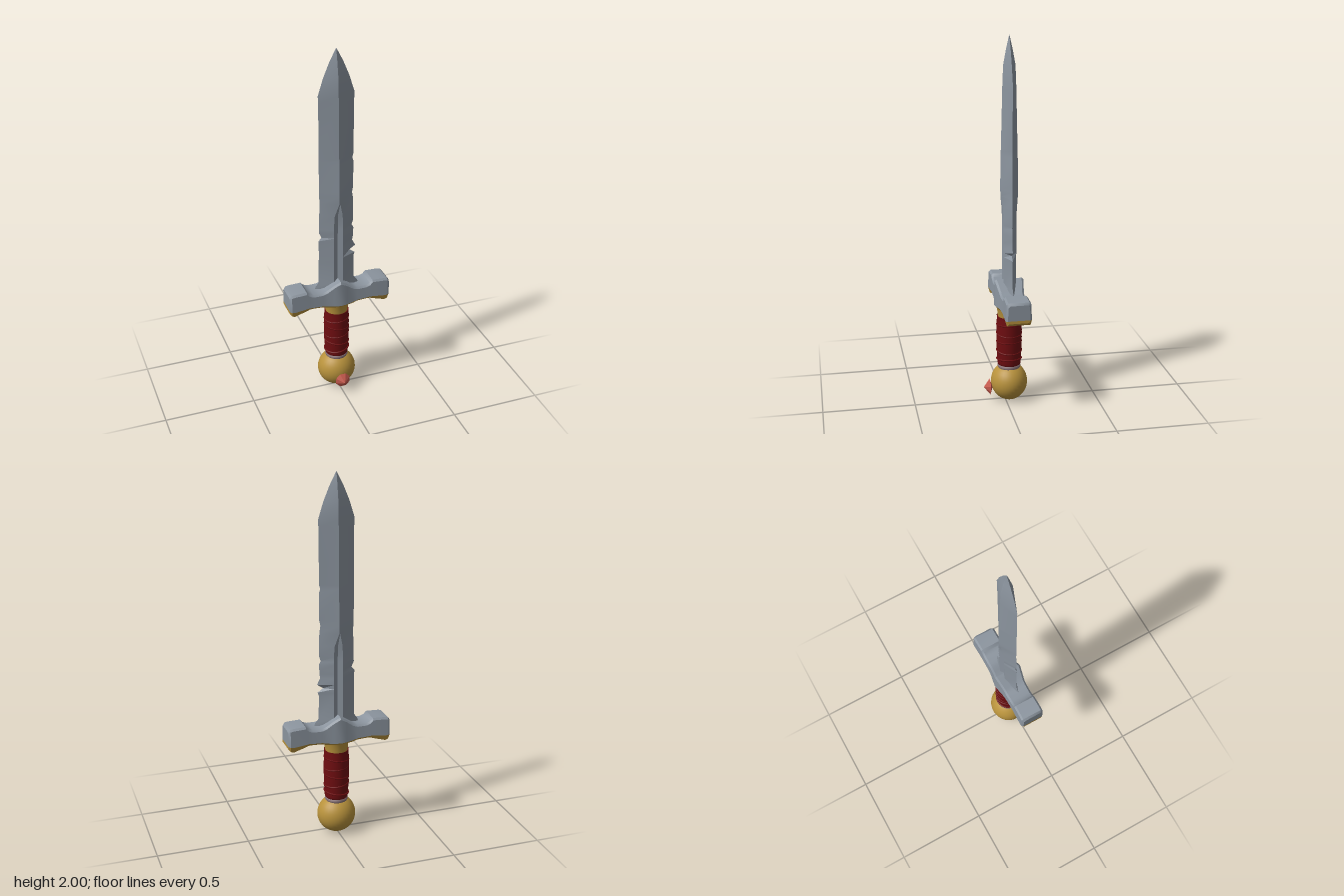
import * as THREE from 'three';
import { toCreasedNormals } from 'three/addons/utils/BufferGeometryUtils.js';

const mat = (name, color) => {
  const m = new THREE.MeshStandardMaterial({ color });
  m.name = name;
  return m;
};

// Skin a list of equal-length rings (counter-clockwise about the axis) and cap both ends.
function loft(rings, crease) {
  const n = rings[0].length, index = [];
  rings.slice(1).forEach((_, i) => {
    for (let j = 0; j < n; j++) {
      const a = i * n + j, b = i * n + (j + 1) % n;
      index.push(a, b, b + n, a, b + n, a + n);
    }
  });
  const last = (rings.length - 1) * n;
  for (let j = 1; j < n - 1; j++) index.push(0, j + 1, j, last, last + j, last + j + 1);
  const g = new THREE.BufferGeometry();
  g.setAttribute('position', new THREE.Float32BufferAttribute(rings.flat(2), 3));
  g.setIndex(index);
  return toCreasedNormals(g, crease);
}

const lathe = (pts, seg) => new THREE.LatheGeometry(pts.map(p => new THREE.Vector2(...p)), seg);

export function createModel() {
  const steel = mat('steel', 0x8c959f);
  const gold = mat('gold', 0xb8923c);
  const leather = mat('red leather', 0x6e0d10);
  const ruby = mat('gem red', 0xc4594c);
  const band = mat('band grey', 0x8a7478);

  const group = new THREE.Group();
  const sword = new THREE.Group();
  sword.name = 'sword';
  sword.position.z = -0.022;
  group.add(sword);
  const add = (name, geometry, material) => {
    const m = new THREE.Mesh(geometry, material);
    m.name = name;
    sword.add(m);
    return m;
  };

  // Blade rows: y, left edge, right edge, ridge x, ridge depth, centre depth
  const blade = [
    [0.62, 0.13, 0.13, 0.025, 0.034, 0.022],
    [0.655, 0.12, 0.12, 0.025, 0.034, 0.022],
    [0.68, 0.102, 0.1, 0.025, 0.034, 0.022],
    [0.81, 0.101, 0.098, 0.025, 0.034, 0.022],
    [0.83, 0.1, 0.105, 0.025, 0.034, 0.022],
    [0.852, 0.1, 0.075, 0.025, 0.034, 0.022],
    [0.875, 0.1, 0.108, 0.025, 0.034, 0.022],
    [0.91, 0.1, 0.09, 0.025, 0.034, 0.022],
    [0.935, 0.102, 0.095, 0.025, 0.034, 0.022],
    [0.955, 0.085, 0.095, 0.025, 0.034, 0.022],
    [0.985, 0.098, 0.097, 0.025, 0.034, 0.022],
    [1.005, 0.097, 0.087, 0.025, 0.034, 0.022],
    [1.03, 0.096, 0.095, 0.025, 0.034, 0.023],
    [1.09, 0.096, 0.095, 0.022, 0.037, 0.027],
    [1.16, 0.092, 0.094, 0.006, 0.045, 0.047],
    [1.2, 0.096, 0.088, 0.006, 0.045, 0.048],
    [1.23, 0.096, 0.094, 0.006, 0.045, 0.048],
    [1.38, 0.096, 0.094, 0.006, 0.042, 0.045],
    [1.4, 0.096, 0.088, 0.006, 0.042, 0.045],
    [1.42, 0.096, 0.094, 0.006, 0.042, 0.044],
    [1.72, 0.096, 0.096, 0.006, 0.035, 0.037],
    [1.76, 0.098, 0.098, 0.006, 0.034, 0.036],
    [1.85, 0.07, 0.07, 0.005, 0.03, 0.032],
    [1.93, 0.037, 0.037, 0.003, 0.016, 0.017],
    [2.0, 0.001, 0.001, 0.0005, 0.0005, 0.001],
  ];
  add('blade', loft(blade.map(([y, l, r, rx, rz, cz]) => [
    [0, y, cz], [rx, y, rz], [r, y, 0], [rx, y, -rz],
    [0, y, -cz], [-rx, y, -rz], [-l, y, 0], [-rx, y, rz],
  ]), 0.35), steel);

  // Crossguard half rows: x, top, steel/gold seam, bottom, half depth
  const half = [
    [0, 0.7, 0.555, 0.545, 0.083],
    [0.035, 0.68, 0.555, 0.546, 0.077],
    [0.075, 0.65, 0.56, 0.548, 0.07],
    [0.1, 0.641, 0.566, 0.556, 0.069],
    [0.15, 0.641, 0.568, 0.558, 0.068],
    [0.175, 0.65, 0.57, 0.557, 0.068],
    [0.19, 0.666, 0.568, 0.551, 0.068],
    [0.26, 0.663, 0.56, 0.53, 0.069],
    [0.276, 0.66, 0.562, 0.536, 0.069],
    [0.287, 0.648, 0.565, 0.55, 0.06],
  ];
  const rows = [...half.slice(1).reverse().map(([x, ...r]) => [-x, ...r]), ...half];
  const c = 0.01;
  add('crossguard', loft(rows.map(([x, t, s, b, d]) => [
    [x, t, -d + 0.014], [x, t, d - 0.014], [x, t - c, d - 0.004], [x, s, d],
    [x, s, -d], [x, t - c, -d + 0.004],
  ]), 0.6), steel);
  add('crossguardUnderside', loft(rows.map(([x, t, s, b, d]) => [
    [x, s, -d], [x, s, d], [x, b, d - 0.008], [x, b, -d + 0.008],
  ]), 0.6), gold);

  // Collar under the guard
  add('collar', lathe([[0.058, 0.47], [0.063, 0.5], [0.066, 0.53], [0.074, 0.555]], 24), gold);

  // Wrapped grip
  const grip = [[0.055, 0.205], [0.062, 0.21]];
  for (let i = 0; i <= 6; i++) {
    const y = 0.22 + i * 0.042, r = 0.064 + 0.005 * Math.sin(Math.PI * i / 7);
    grip.push([r, y], [r + 0.001, y + 0.02]);
  }
  grip.push([0.067, 0.488], [0.055, 0.49]);
  add('grip', lathe(grip, 24), leather);
  for (let i = 0; i < 5; i++) {
    const wrap = add('gripWrap', new THREE.TorusGeometry(0.0665, 0.005, 6, 24), leather);
    wrap.position.y = 0.24 + i * 0.05;
    wrap.rotation.set(Math.PI / 2, i % 2 ? -0.12 : 0.12, 0);
  }

  // Band between grip and pommel
  add('gripBand', lathe([[0.05, 0.18], [0.06, 0.188], [0.064, 0.198], [0.06, 0.21], [0.05, 0.214]], 24), band);

  // Pommel
  const pommel = add('pommel', new THREE.SphereGeometry(1, 32, 20), gold);
  pommel.scale.set(0.106, 0.105, 0.1);
  pommel.position.y = 0.105;

  // Faceted gem on the pommel front
  const gem = add('gem', toCreasedNormals(
    lathe([[0, -0.015], [0.044, 0], [0.001, 0.033]], 8), 0.1), ruby);
  gem.rotation.set(Math.PI / 2, Math.PI / 8, 0);
  gem.position.set(0, 0.075, 0.107);

  return group;
}
